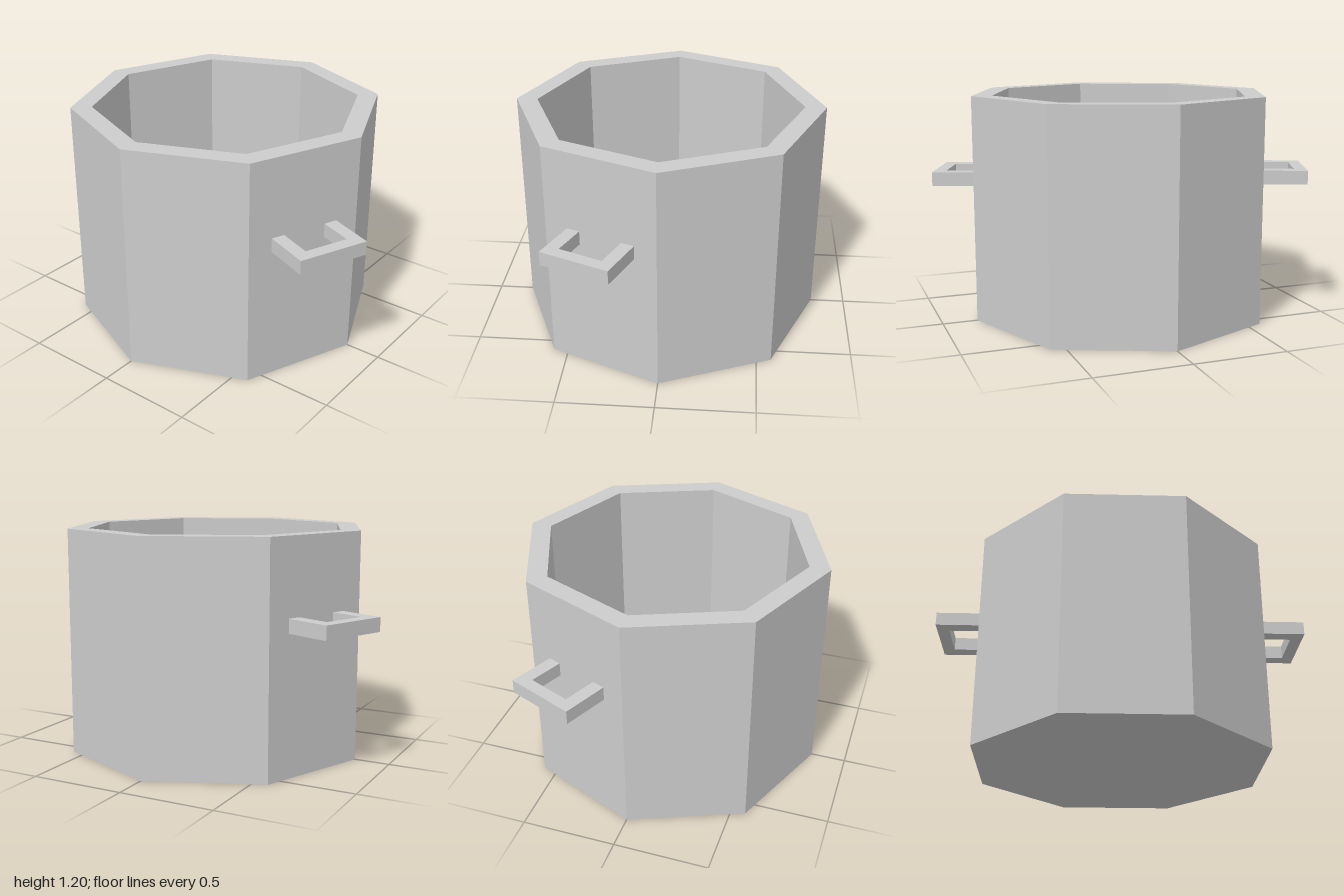
import * as THREE from 'three';

const OUTER = 0.815, INNER = 0.705, HEIGHT = 1.2, FLOOR = 0.11;

// Give every face its own normal for a crisp low-poly look
function faceted(geometry) {
  const flat = geometry.toNonIndexed();
  flat.computeVertexNormals();
  return flat;
}

export function createModel() {
  const group = new THREE.Group();
  group.name = 'pot';
  const metal = new THREE.MeshStandardMaterial({ color: 0xcccccc });
  metal.name = 'light grey metal';

  // Eight-sided body: underside, outer wall, rim, inner wall and floor
  const profile = [
    [0, 0], [OUTER, 0], [OUTER, HEIGHT], [INNER, HEIGHT], [INNER, FLOOR], [0, FLOOR],
  ].map(([x, y]) => new THREE.Vector2(x, y));
  const body = new THREE.Mesh(faceted(new THREE.LatheGeometry(profile, 8)), metal);
  body.name = 'body';
  group.add(body);

  // U-shaped handle, opening towards the wall
  const u = new THREE.Shape([
    [0.74, -0.185], [1.0, -0.185], [1.0, 0.19], [0.74, 0.19],
    [0.74, 0.12], [0.935, 0.12], [0.935, -0.115], [0.74, -0.115],
  ].map(([x, y]) => new THREE.Vector2(x, y)));
  const handleGeometry = faceted(
    new THREE.ExtrudeGeometry(u, { depth: 0.073, bevelEnabled: false }).rotateX(-Math.PI / 2));

  // Handles sit at the middle of two opposite wall faces, at slightly different heights
  for (const [name, angle, y] of [
    ['leftHandle', -Math.PI / 8, 0.71],
    ['rightHandle', Math.PI * 7 / 8, 0.73],
  ]) {
    const handle = new THREE.Mesh(handleGeometry, metal);
    handle.name = name;
    handle.rotation.y = angle;
    handle.position.y = y;
    group.add(handle);
  }
  return group;
}
